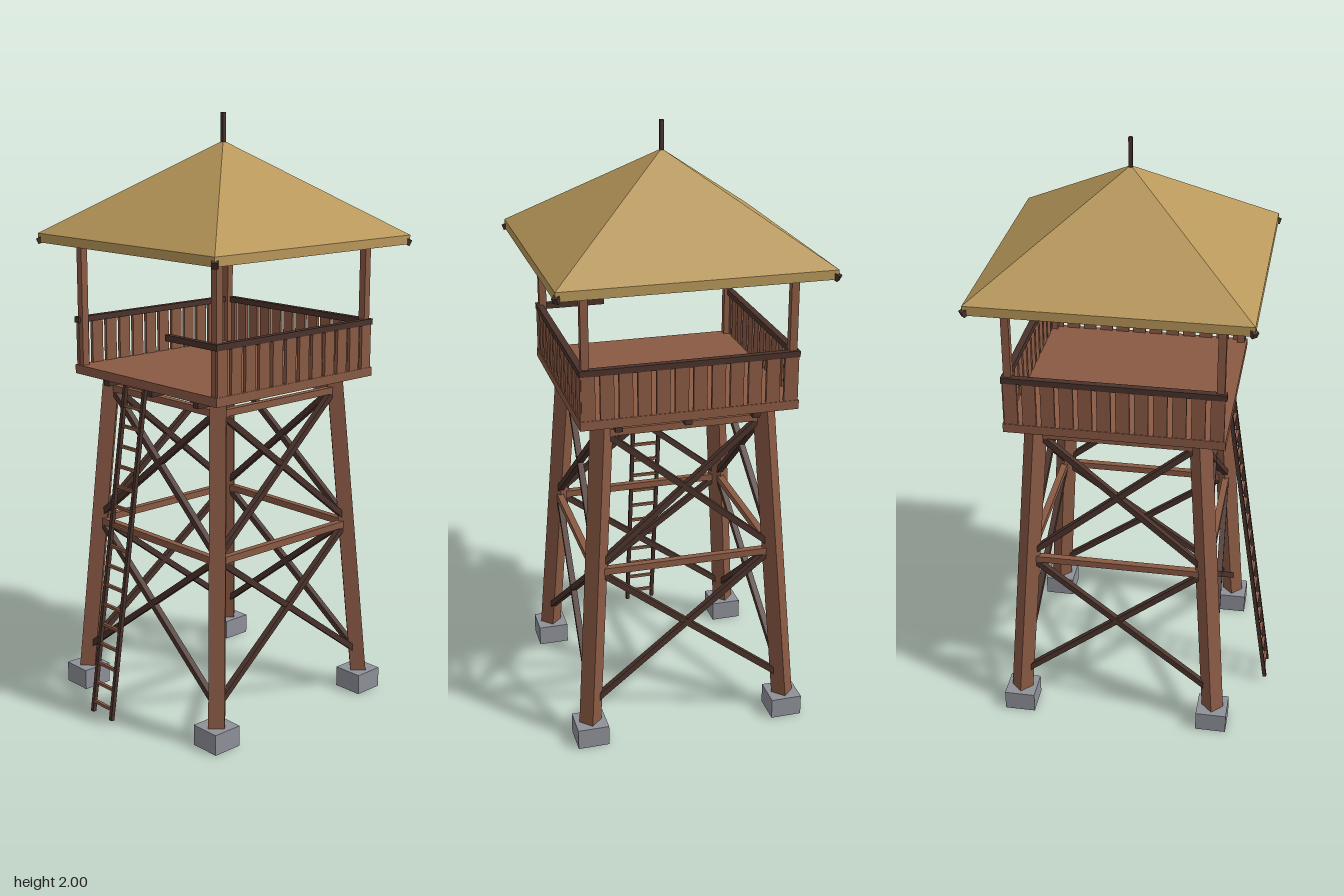
import * as THREE from 'three';

const mat = (name, color) => {
  const m = new THREE.MeshStandardMaterial({ color });
  m.name = name;
  return m;
};

export function createModel() {
  const wood = mat('brown wood', 0x8a5a44);
  const dark = mat('dark wood', 0x4a322b);
  const thatch = mat('straw thatch', 0xb8975a);
  const stone = mat('grey stone', 0x8f9199);
  thatch.flatShading = true;

  const model = new THREE.Group();
  model.name = 'watchtower';
  const tower = new THREE.Group();
  tower.name = 'tower';
  tower.position.x = 0.03;
  model.add(tower);

  const box = (name, m, w, h, d, x, y, z, parent = tower) => {
    const mesh = new THREE.Mesh(new THREE.BoxGeometry(w, h, d), m);
    mesh.name = name;
    mesh.position.set(x, y, z);
    parent.add(mesh);
    return mesh;
  };
  // Square beam running from a to b
  const beam = (name, m, t, a, b, parent = tower) => {
    const p = new THREE.Vector3(...a), q = new THREE.Vector3(...b);
    const mesh = box(name, m, t, t, p.distanceTo(q), 0, 0, 0, parent);
    mesh.position.copy(p).add(q).multiplyScalar(0.5);
    mesh.quaternion.setFromRotationMatrix(
      new THREE.Matrix4().lookAt(q, p, new THREE.Vector3(0, 1, 0)));
    return mesh;
  };
  // Half spacing of the leaning legs at height y
  const lean = (y) => 0.34 - 0.073 * (y - 0.07) / 1.06;

  // Footings, legs, roof posts and hip rafters at the four corners
  for (const sx of [-1, 1]) for (const sz of [-1, 1]) {
    const at = (r, y) => [sx * r, y, sz * r];
    box('footing', stone, 0.105, 0.07, 0.105, sx * 0.34, 0.035, sz * 0.34);
    beam('leg', wood, 0.053, at(lean(0.05), 0.05), at(lean(1.13), 1.13));
    box('roofPost', wood, 0.025, 0.46, 0.025, sx * 0.334, 1.38, sz * 0.334);
    beam('hipRafter', dark, 0.02, at(0.438, 1.578), at(0.01, 1.87));
  }

  // Four identical sides: braces, eave plate and railing
  for (let i = 0; i < 4; i++) {
    const side = new THREE.Group();
    side.name = 'towerSide';
    side.rotation.y = i * Math.PI / 2;
    tower.add(side);
    for (const y of [0.61, 1.083]) {
      const r = lean(y);
      beam('horizontalBrace', wood, 0.023, [-r, y, r], [r, y, r], side);
    }
    for (const [y0, y1] of [[0.135, 0.615], [0.625, 1.09]]) for (const s of [-1, 1]) {
      const a = lean(y0), b = lean(y1);
      beam('crossBrace', dark, 0.02, [-s * a, y0, a], [s * b, y1, b], side);
    }
    box('eavePlate', dark, 0.69, 0.022, 0.022, 0, 1.6, 0.334, side);

    if (i === 3) {
      // Ladder side: open except for a short rail
      box('shortRail', dark, 0.24, 0.02, 0.02, 0.235, 1.315, 0.345, side);
      continue;
    }
    box('topRail', dark, 0.71, 0.02, 0.022, 0, 1.315, 0.344, side);
    for (let k = 0; k < 12; k++) {
      box('railingPlank', wood, 0.044, 0.15, 0.012, (k - 5.5) * 0.0595, 1.232, 0.347, side);
    }
  }

  // Platform and the joists below it
  box('floor', wood, 0.71, 0.03, 0.71, 0, 1.145, 0);
  for (const z of [-0.225, 0, 0.225]) box('joist', dark, 0.65, 0.03, 0.025, 0, 1.116, z);

  // Hollow pyramid roof with a thin eave, built from square rings
  const corners = [[-1, 1], [1, 1], [1, -1], [-1, -1]];
  const rings = [[0, 1.91], [0.437, 1.605], [0.437, 1.575], [0.415, 1.575], [0, 1.875]];
  const pos = [];
  for (let r = 0; r < rings.length - 1; r++) {
    for (let k = 0; k < 4; k++) {
      const p = (ring, c) => [corners[c % 4][0] * ring[0], ring[1], corners[c % 4][1] * ring[0]];
      const a = p(rings[r], k), b = p(rings[r], k + 1);
      const c = p(rings[r + 1], k), d = p(rings[r + 1], k + 1);
      if (rings[r + 1][0] > 0) pos.push(...a, ...c, ...d);
      else pos.push(...a, ...c, ...b);
      if (rings[r][0] > 0 && rings[r + 1][0] > 0) pos.push(...a, ...d, ...b);
    }
  }
  const roofGeo = new THREE.BufferGeometry();
  roofGeo.setAttribute('position', new THREE.Float32BufferAttribute(pos, 3));
  roofGeo.computeVertexNormals();
  const roof = new THREE.Mesh(roofGeo, thatch);
  roof.name = 'roof';
  tower.add(roof);
  box('finial', dark, 0.013, 0.12, 0.013, 0, 1.94, 0);

  // Leaning ladder
  const ladder = new THREE.Group();
  ladder.name = 'ladder';
  model.add(ladder);
  const ladderX = (y) => -0.475 + 0.163 * (y - 0.02) / 1.12;
  for (const z of [0, -0.098]) {
    beam('ladderRail', dark, 0.013, [ladderX(0.02), 0.02, z], [ladderX(1.14), 1.14, z], ladder);
  }
  for (let k = 0; k < 17; k++) {
    const y = 0.056 + k * 0.067;
    box('rung', wood, 0.01, 0.01, 0.098, ladderX(y), y, -0.049, ladder);
  }
  return model;
}
